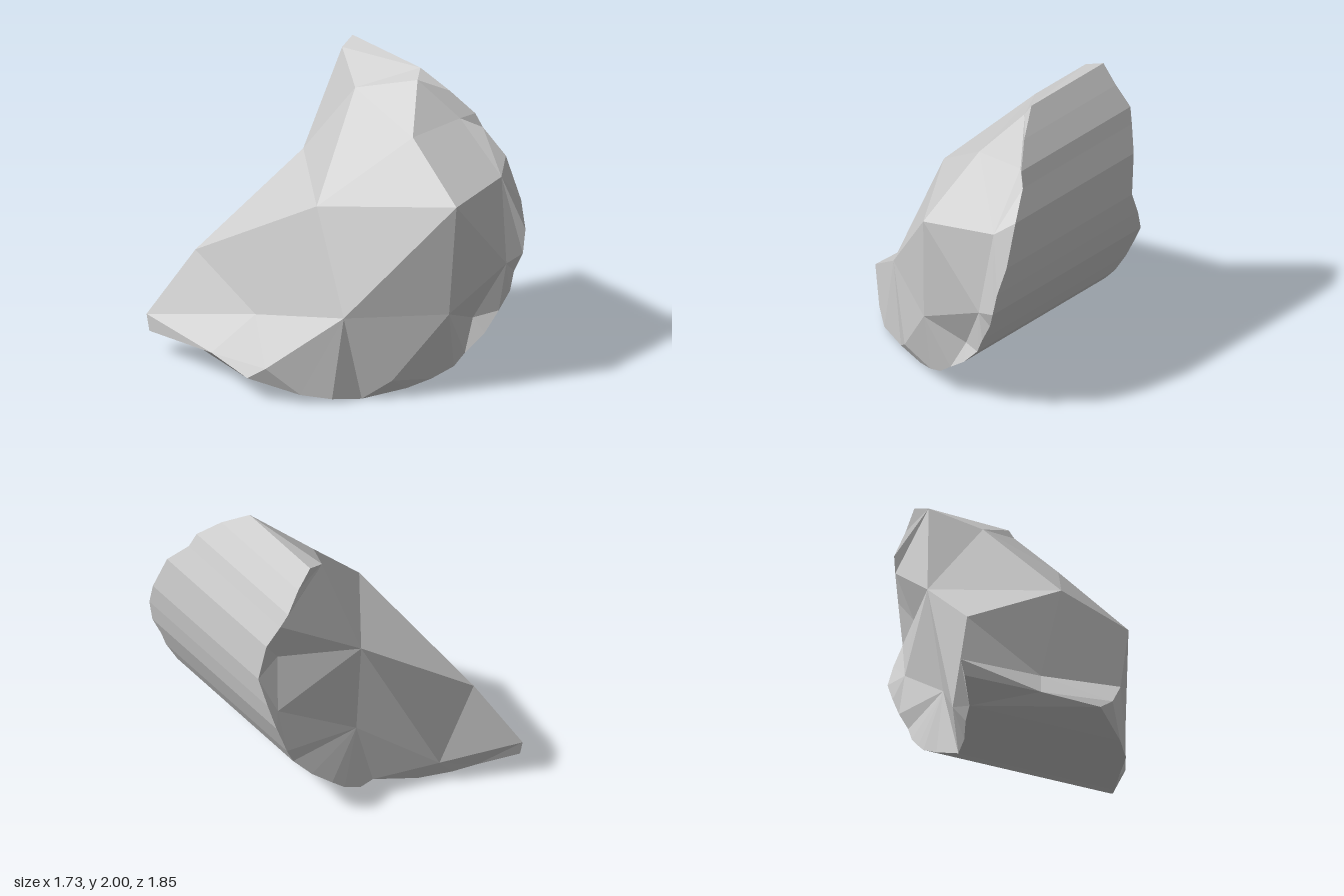
import * as THREE from 'three';

// Curved outer rim: [x, y, front z, back z], from lower left round to the top
const rim = [
  [-0.865, 0.15, 0.12, -0.89], [-0.64, 0.06, 0.39, -0.73], [-0.48, 0.03, 0.52, -0.67],
  [-0.28, 0, 0.58, -0.57], [0, 0.04, 0.7, -0.46], [0.15, 0.09, 0.77, -0.54],
  [0.29, 0.16, 0.83, -0.56], [0.38, 0.23, 0.83, -0.55], [0.52, 0.34, 0.86, -0.52],
  [0.64, 0.47, 0.86, -0.48], [0.71, 0.6, 0.89, -0.51], [0.76, 0.72, 0.87, -0.53],
  [0.81, 0.84, 0.9, -0.54], [0.84, 1.0, 0.89, -0.48], [0.86, 1.18, 0.82, -0.4],
  [0.83, 1.46, 0.7, -0.45], [0.76, 1.63, 0.55, -0.51], [0.72, 1.73, 0.52, -0.54],
  [0.62, 1.87, 0.38, -0.51], [0.52, 2, 0.2, -0.5],
];
const front = rim.map(([x, y, f]) => [x, y, f]);
const back = rim.map(([x, y, , b]) => [x, y, b]);
const last = rim.length - 1;

// Corners of the fractured faces
const nose = [0.23, 1.33, 0.93], lowLeft = [-0.39, 0.58, 0.53], shoulder = [-0.3, 1.22, 0.14];
const brow = [0.27, 1.65, 0.43], tip = [0.48, 1.93, 0.22], cheek = [0.72, 1.37, 0.79];
const temple = [0.65, 1.69, 0.45], chip = [-0.13, 0.13, 0.71];
const chinR = [0.68, 0.8, 0.89], chinL = [0.2, 0.57, 0.89], notch = [0.48, 0.44, 0.79];
const toe = [-0.81, 0.24, 0.24], heel = [-0.865, 0.26, -0.92], dent = [-0.57, 0.43, -0.16];
const nick = [-0.825, 0.18, -0.3];
const ridge = [0.25, 1.82, -0.14], crest = [0.4, 1.96, -0.46];
const backTop = [0.18, 1.26, -0.59], backLeft = [-0.61, 0.71, -0.73];
const backLow = [-0.36, 0.17, -0.7], backMid = [0.15, 0.54, -0.49];
const backRight = [0.74, 0.9, -0.45], backUpper = [0.71, 1.3, -0.4];

// Triangles from one corner to a run of rim points
function fan(corner, edge, from, to) {
  const tris = [];
  for (let i = from; i < to; i++) {
    tris.push(edge === front ? [corner, edge[i], edge[i + 1]] : [corner, edge[i + 1], edge[i]]);
  }
  return tris;
}

function facets(name, tris) {
  const geometry = new THREE.BufferGeometry();
  geometry.setAttribute('position', new THREE.Float32BufferAttribute(tris.flat(2), 3));
  geometry.computeVertexNormals();
  const mesh = new THREE.Mesh(geometry, new THREE.MeshStandardMaterial({ color: 0xcccccc, flatShading: true }));
  mesh.name = name;
  return mesh;
}

export function createModel() {
  const group = new THREE.Group();
  group.name = 'rockFragment';

  // Banded curved shell between the two ragged rims, nicked along its left edge
  const shell = [[front[0], nick, back[1]], [nick, back[0], back[1]], [front[0], back[1], front[1]]];
  for (let i = 1; i < last; i++) {
    shell.push([front[i], back[i], back[i + 1]], [front[i], back[i + 1], front[i + 1]]);
  }
  group.add(facets('curvedOuterShell', shell));

  // Broken front end
  group.add(facets('frontFracture', [
    ...fan(toe, front, 0, 1), [toe, front[1], lowLeft],
    ...fan(lowLeft, front, 1, 3), [lowLeft, front[3], chip],
    ...fan(chip, front, 3, 5), [chip, front[5], chinL], [lowLeft, chip, chinL],
    ...fan(chinL, front, 5, 7), [chinL, front[7], notch],
    ...fan(notch, front, 7, 9), [notch, front[9], chinR],
    ...fan(chinR, front, 9, 12), [chinR, front[12], cheek],
    ...fan(cheek, front, 12, 16), [cheek, front[16], temple],
    ...fan(temple, front, 16, 18), [temple, front[18], tip],
    ...fan(tip, front, 18, last),
    [chinL, notch, chinR], [lowLeft, chinL, nose], [chinL, chinR, nose], [chinR, cheek, nose],
    [nose, cheek, brow], [cheek, temple, brow], [temple, tip, brow],
    [lowLeft, nose, shoulder], [nose, brow, shoulder],
  ]));

  // Sloping top and left side
  group.add(facets('upperCleavage', [
    [shoulder, brow, ridge], [brow, tip, ridge], [tip, front[last], ridge],
    [ridge, front[last], crest], [crest, front[last], back[last]],
    [shoulder, ridge, backTop], [shoulder, backTop, backLeft], [ridge, crest, backTop],
    [lowLeft, shoulder, dent], [shoulder, backLeft, dent], [backLeft, heel, dent],
    [toe, lowLeft, dent], [toe, dent, nick], [nick, dent, heel],
    [front[0], toe, nick], [nick, heel, back[0]],
  ]));

  // Broken back end
  group.add(facets('backFracture', [
    ...fan(heel, back, 0, 1), [heel, backLow, back[1]], [heel, backLeft, backLow],
    ...fan(backLow, back, 1, 4), [backLow, backMid, back[4]],
    ...fan(backMid, back, 4, 10), [backMid, backRight, back[10]],
    ...fan(backRight, back, 10, 14), [backRight, backUpper, back[14]],
    ...fan(backUpper, back, 14, 16), [backUpper, backTop, back[16]],
    [backMid, backTop, backRight], [backRight, backTop, backUpper],
    [backTop, crest, back[16]], ...fan(crest, back, 16, last),
    [backLeft, backTop, backLow], [backLow, backTop, backMid],
  ]));
  return group;
}
